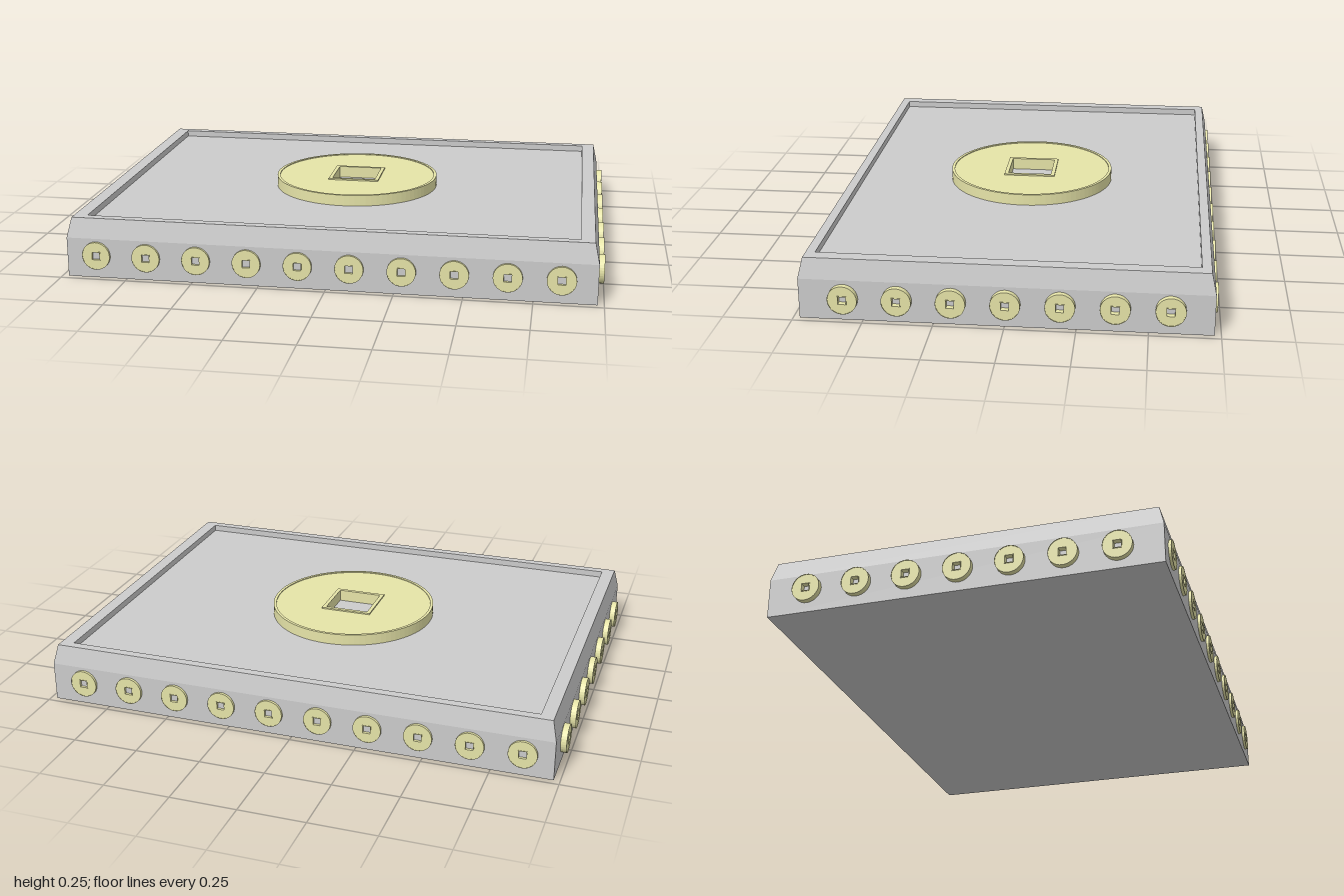
import * as THREE from 'three';

const grey = new THREE.MeshStandardMaterial({ color: 0xcccccc });
const gold = new THREE.MeshStandardMaterial({ color: 0xe6e4a8 });

// Half sizes of the slab and height of its recessed floor
const HX = 0.977, HZ = 0.727, FLOOR = 0.2;

// Slab: rectangular sections [halfX, halfZ, y] from the underside up, over the rim and into the recess
function slabGeometry() {
  const sections = [
    [HX, HZ, 0], [HX, HZ, 0.15], [HX - 0.017, HZ - 0.017, 0.225],
    [0.91, 0.676, 0.225], [0.91, 0.676, FLOOR],
  ];
  const rings = sections.map(([x, z, y]) => [[x, y, z], [x, y, -z], [-x, y, -z], [-x, y, z]]);
  const pos = [];
  const quad = (a, b, c, d) => pos.push(...a, ...b, ...c, ...a, ...c, ...d);
  for (let i = 0; i < rings.length - 1; i++) {
    for (let k = 0; k < 4; k++) {
      const n = (k + 1) % 4;
      quad(rings[i][k], rings[i][n], rings[i + 1][n], rings[i + 1][k]);
    }
  }
  quad(...rings[rings.length - 1]);
  quad(...[...rings[0]].reverse());
  const geo = new THREE.BufferGeometry();
  geo.setAttribute('position', new THREE.Float32BufferAttribute(pos, 3));
  geo.computeVertexNormals();
  return geo;
}

const circle = (r, Type = THREE.Shape) => new Type().absarc(0, 0, r, 0, Math.PI * 2, false);
const square = (h, Type = THREE.Shape) => {
  const s = new Type();
  s.moveTo(-h, -h).lineTo(h, -h).lineTo(h, h).lineTo(-h, h).closePath();
  return s;
};

function extruded(outer, hole, depth, segments) {
  outer.holes.push(hole);
  return new THREE.ExtrudeGeometry(outer, { depth, bevelEnabled: false, curveSegments: segments });
}

// Coin facing +z with its back at z = 0: disc, thin raised edge and raised frame round the square hole
function coinParts(r, depth, segments) {
  const frame = r * 0.31, hole = r * 0.265;
  return {
    coinDisc: extruded(circle(r * 0.985), square(hole, THREE.Path), depth * 0.88, segments),
    coinEdge: extruded(circle(r), circle(r * 0.965, THREE.Path), depth * 0.95, segments),
    coinFrame: extruded(square(frame), square(hole, THREE.Path), depth, segments),
  };
}

function makeCoin(parts, name) {
  const coin = new THREE.Group();
  coin.name = name;
  for (const [part, geo] of Object.entries(parts)) {
    const mesh = new THREE.Mesh(geo, gold);
    mesh.name = part;
    coin.add(mesh);
  }
  return coin;
}

export function createModel() {
  const model = new THREE.Group();
  model.name = 'coinSlab';

  const slab = new THREE.Mesh(slabGeometry(), grey);
  slab.name = 'slab';
  model.add(slab);

  // Large coin lying in the recess
  const topCoin = makeCoin(coinParts(0.325, 0.045, 48), 'topCoin');
  topCoin.rotation.x = -Math.PI / 2;
  topCoin.position.y = FLOOR;
  model.add(topCoin);

  // Rows of small coins around the four sides
  const longSideCoin = coinParts(0.053, 0.011, 16);
  const shortSideCoin = coinParts(0.053, 0.023, 16);
  for (const side of [1, -1]) {
    for (let i = 0; i < 10; i++) {
      const coin = makeCoin(longSideCoin, side > 0 ? 'frontCoin' : 'backCoin');
      coin.position.set(-0.864 + i * 0.1903, 0.086, side * HZ);
      coin.rotation.y = side > 0 ? 0 : Math.PI;
      model.add(coin);
    }
    for (let i = 0; i < 7; i++) {
      const coin = makeCoin(shortSideCoin, side > 0 ? 'leftCoin' : 'rightCoin');
      coin.position.set(side * HX, 0.09 - i * 0.0013, -0.575 + i * 0.1905);
      coin.rotation.y = side * Math.PI / 2;
      model.add(coin);
    }
  }
  return model;
}
